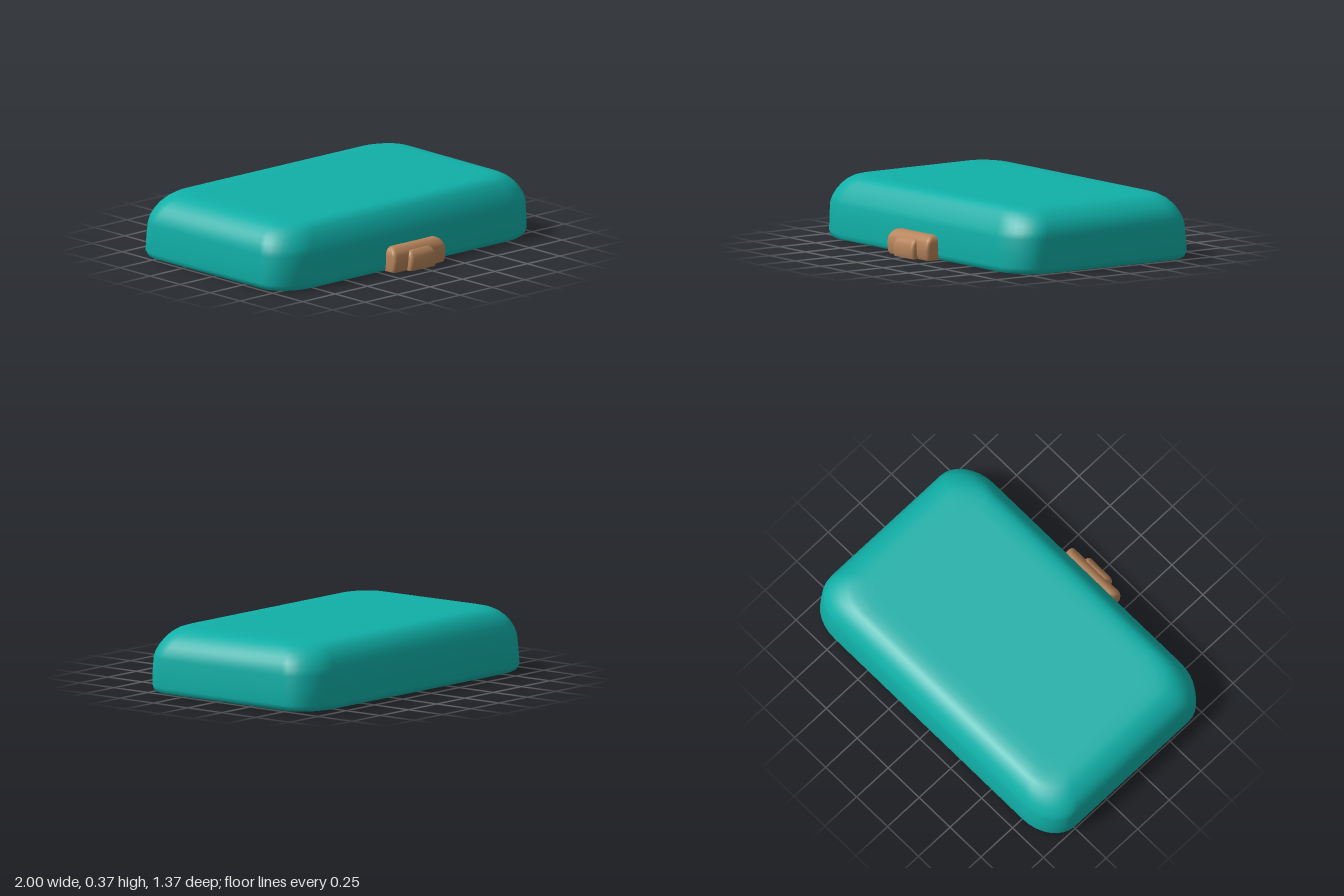
import * as THREE from 'three';

// Smooth shell, open below, lofted through rounded-rectangle sections.
// Each section: [y, halfWidth, zFront, zBack, cornerX, cornerZ]
function loft(sections, tilt = 0, steps = 8) {
  const positions = [], indices = [];
  const count = 4 * (steps + 1);
  for (const [y, hw, zf, zb, rx, rz] of sections) {
    for (let q = 0; q < 4; q++) {
      const cx = (q === 0 || q === 3 ? 1 : -1) * (hw - rx);
      const cz = q < 2 ? zf - rz : zb + rz;
      for (let k = 0; k <= steps; k++) {
        const a = (q + k / steps) * Math.PI / 2;
        const z = cz + rz * Math.sin(a);
        positions.push(cx + rx * Math.cos(a), y * (1 - tilt * z), z);
      }
    }
  }
  for (let i = 0; i < sections.length - 1; i++) {
    for (let j = 0; j < count; j++) {
      const a = i * count + j, b = i * count + (j + 1) % count;
      indices.push(a, a + count, b, b, a + count, b + count);
    }
  }
  // Top cap
  const [y, , zf, zb] = sections[sections.length - 1];
  const zc = (zf + zb) / 2, base = (sections.length - 1) * count;
  const center = positions.length / 3;
  positions.push(0, y * (1 - tilt * zc) - 0.001, zc);
  for (let j = 0; j < count; j++) indices.push(center, base + (j + 1) % count, base + j);

  const geometry = new THREE.BufferGeometry();
  geometry.setAttribute('position', new THREE.Float32BufferAttribute(positions, 3));
  geometry.setIndex(indices);
  geometry.computeVertexNormals();
  return geometry;
}

export function createModel() {
  const teal = new THREE.MeshStandardMaterial({ color: 0x10b0a8, side: THREE.DoubleSide });
  teal.name = 'teal';
  const tan = new THREE.MeshStandardMaterial({ color: 0xb5835a, side: THREE.DoubleSide });
  tan.name = 'tan';

  const group = new THREE.Group();
  group.name = 'caseLid';
  const add = (name, geometry, material) => {
    const mesh = new THREE.Mesh(geometry, material);
    mesh.name = name;
    group.add(mesh);
  };

  // Hollow lid with a softly rounded shoulder
  add('lidShell', loft([
    [0.000, 0.975, 0.562, -0.655, 0.23, 0.17],
    [0.010, 0.991, 0.573, -0.672, 0.24, 0.18],
    [0.035, 0.999, 0.578, -0.682, 0.24, 0.18],
    [0.120, 0.998, 0.577, -0.675, 0.24, 0.18],
    [0.200, 0.995, 0.573, -0.667, 0.24, 0.18],
    [0.235, 0.989, 0.562, -0.656, 0.24, 0.18],
    [0.270, 0.973, 0.546, -0.640, 0.235, 0.18],
    [0.300, 0.951, 0.529, -0.622, 0.23, 0.175],
    [0.330, 0.916, 0.506, -0.594, 0.215, 0.165],
    [0.350, 0.878, 0.482, -0.564, 0.20, 0.155],
    [0.360, 0.840, 0.455, -0.530, 0.18, 0.14],
    [0.365, 0.790, 0.415, -0.480, 0.15, 0.12],
    [0.3655, 0.720, 0.350, -0.410, 0.13, 0.10],
  ], 0.015), teal);

  // Latch plate, passing through the front wall
  add('latchPlate', loft([
    [0.000, 0.196, 0.643, 0.550, 0.02, 0.02],
    [0.020, 0.200, 0.651, 0.548, 0.022, 0.022],
    [0.060, 0.200, 0.655, 0.548, 0.022, 0.022],
    [0.095, 0.199, 0.651, 0.548, 0.022, 0.022],
    [0.115, 0.194, 0.640, 0.550, 0.022, 0.022],
    [0.130, 0.184, 0.625, 0.553, 0.02, 0.02],
    [0.138, 0.172, 0.612, 0.558, 0.018, 0.018],
    [0.141, 0.155, 0.600, 0.564, 0.014, 0.014],
  ], 0, 5), tan);

  // Raised thumb tab
  add('latchTab', loft([
    [0.000, 0.098, 0.678, 0.625, 0.02, 0.02],
    [0.020, 0.099, 0.684, 0.622, 0.02, 0.02],
    [0.050, 0.098, 0.685, 0.622, 0.02, 0.02],
    [0.080, 0.095, 0.680, 0.622, 0.02, 0.02],
    [0.098, 0.089, 0.668, 0.622, 0.018, 0.018],
    [0.110, 0.079, 0.655, 0.622, 0.015, 0.015],
    [0.115, 0.064, 0.644, 0.624, 0.009, 0.009],
  ], 0, 5), tan);

  return group;
}
